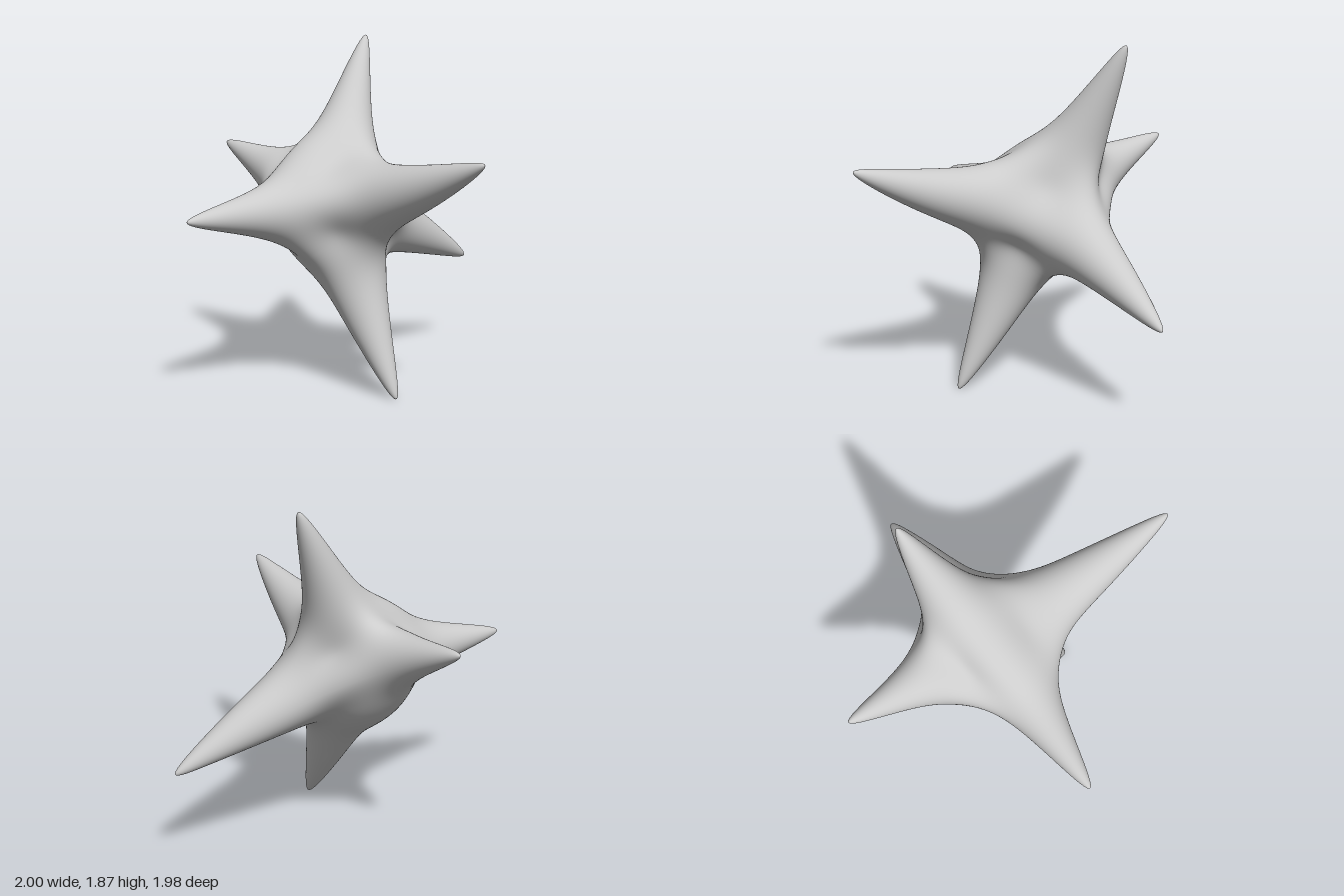
import * as THREE from 'three';
import { mergeVertices } from 'three/addons/utils/BufferGeometryUtils.js';

const V = (x, y, z) => new THREE.Vector3(x, y, z);
const CORE = V(-0.05, 0.97, -0.12);

// A spike runs from its tip to the core, bowed sideways at mid length
function spike(tip, bow = V(0, 0, 0)) {
  const axis = tip.clone().sub(CORE);
  const length = axis.length();
  return { tip, bow, length, axis: axis.divideScalar(length) };
}

// Positive and negative spike for the x, y and z axes of a cube
const SPIKES = [
  [spike(V(1, 0.55, -0.12), V(0, 0.02, 0)), spike(V(-1, 0.98, -0.13))],
  [spike(V(0.4, 1.865, -0.34), V(0, 0, -0.015)), spike(V(-0.07, 0, 0.4), V(0, 0, -0.02))],
  [spike(V(-0.07, 1.29, 0.99), V(0, -0.035, 0)), spike(V(-0.1, 1.245, -0.99))],
];
const ALL = SPIKES.flat();

// Spike radius at a distance t from its tip: blunt tip, slim cone, levelling off at the core
function radius(t) {
  const cone = Math.sqrt(0.038 * t * t + 0.014 * t);
  return cone / Math.pow(1 + Math.pow(cone / 0.17, 6), 1 / 6);
}

// Smooth union of the six spikes: negative inside, positive outside
const BLEND = 0.1;
const onAxis = V(0, 0, 0);
function field(p) {
  let sum = 0;
  for (const { tip, bow, axis, length } of ALL) {
    onAxis.subVectors(tip, p);
    const t = THREE.MathUtils.clamp(onAxis.dot(axis), 0, length);
    const s = t / length;
    onAxis.copy(tip).addScaledVector(axis, -t).addScaledVector(bow, 4 * s * (1 - s));
    sum += Math.exp(-(p.distanceTo(onAxis) - radius(t)) / BLEND);
  }
  return -BLEND * Math.log(sum);
}

// Distance from the core to the surface along a direction, by bisection
function reach(dir) {
  const p = V(0, 0, 0);
  let near = 0, far = 1.5;
  for (let i = 0; i < 30; i++) {
    const mid = (near + far) / 2;
    p.copy(CORE).addScaledVector(dir, mid);
    if (field(p) < 0) near = mid; else far = mid;
  }
  return near;
}

export function createModel() {
  const n = 60;
  let geometry = new THREE.BoxGeometry(2, 2, 2, n, n, n);
  geometry.deleteAttribute('normal');
  geometry.deleteAttribute('uv');
  geometry = mergeVertices(geometry);

  // Each cube face becomes one spike; its grid is gathered towards the tip
  const pos = geometry.attributes.position;
  const dir = V(0, 0, 0);
  for (let i = 0; i < pos.count; i++) {
    const c = [pos.getX(i), pos.getY(i), pos.getZ(i)];
    const size = c.map(Math.abs);
    const major = size.indexOf(Math.max(...size));
    const ring = Math.max(...size.filter((_, k) => k !== major));
    const weights = size.map((value, k) => (k === major ? 1 : value * Math.pow(ring, 1.6)));
    dir.set(0, 0, 0);
    weights.forEach((w, k) => dir.addScaledVector(SPIKES[k][c[k] >= 0 ? 0 : 1].axis, w));
    dir.normalize();

    // Flatten the hollows between three neighbouring spikes
    const [a, b, d] = weights.map(w => w * w);
    const hollow = 27 * a * b * d / Math.pow(a + b + d, 3);
    const p = dir.multiplyScalar(reach(dir) * (1 - 0.12 * hollow)).add(CORE);
    pos.setXYZ(i, p.x, p.y, p.z);
  }
  geometry.computeVertexNormals();

  const body = new THREE.Mesh(geometry, new THREE.MeshStandardMaterial({ color: 0xcccccc }));
  body.name = 'spikedBody';
  const group = new THREE.Group();
  group.name = 'sixPointedStar';
  group.add(body);
  return group;
}
